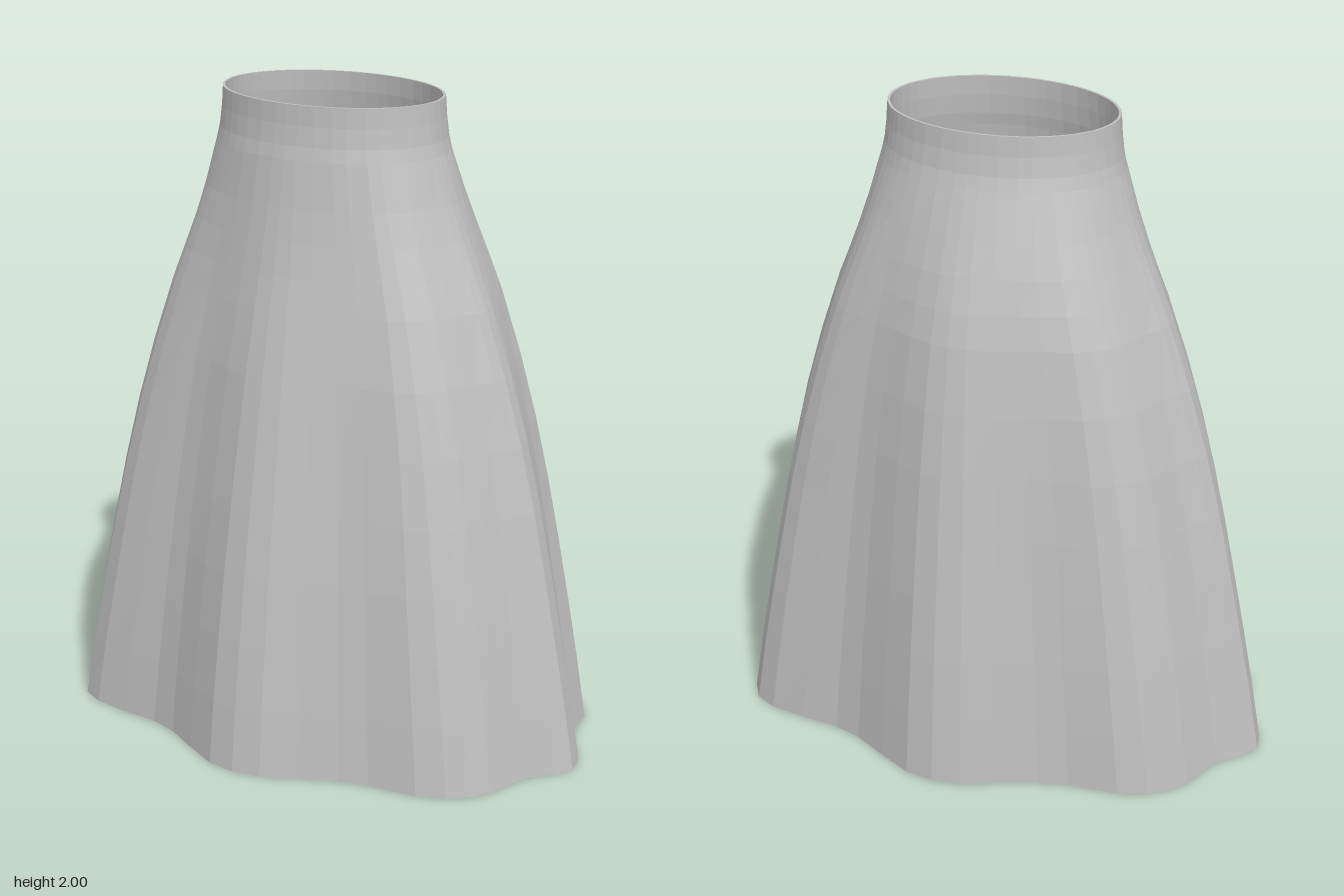
import * as THREE from 'three';

// Half of the wavy hem outline (x, z), from the left side round the front;
// the other half is the same outline turned by 180 degrees.
const HALF_HEM = [
  [0.88, 0.04], [0.85, 0.09], [0.785, 0.16], [0.762, 0.22], [0.735, 0.3], [0.7, 0.355],
  [0.64, 0.4], [0.555, 0.435], [0.4, 0.452], [0.31, 0.475], [0.2, 0.52], [0.09, 0.573],
  [0, 0.587], [-0.09, 0.575], [-0.2, 0.52], [-0.31, 0.46], [-0.4, 0.432], [-0.52, 0.424],
  [-0.64, 0.407], [-0.71, 0.372], [-0.75, 0.31], [-0.765, 0.2], [-0.8, 0.125], [-0.865, 0.03],
];
const HEM = [...HALF_HEM, ...HALF_HEM.map(([x, z]) => [-x, -z])];

// Levels: height, half width, front depth, back depth, strength of the folds
const SKIRT = [
  [0, 0.88, 0.59, 0.587, 1],
  [0.2, 0.845, 0.568, 0.572, 0.97],
  [0.4, 0.806, 0.54, 0.555, 0.92],
  [0.6, 0.765, 0.51, 0.535, 0.87],
  [0.8, 0.722, 0.475, 0.512, 0.8],
  [1.0, 0.672, 0.438, 0.488, 0.72],
  [1.2, 0.612, 0.4, 0.46, 0.6],
  [1.4, 0.542, 0.357, 0.425, 0.45],
  [1.5, 0.5, 0.335, 0.4, 0.35],
  [1.6, 0.458, 0.315, 0.37, 0.25],
  [1.7, 0.42, 0.297, 0.335, 0.14],
  [1.84, 0.375, 0.276, 0.286, 0],
];
const BAND = [
  [1.84, 0.375, 0.276, 0.286, 0],
  [1.88, 0.366, 0.268, 0.274, 0],
  [1.94, 0.359, 0.262, 0.264, 0],
  [2, 0.355, 0.26, 0.26, 0],
];
const THICKNESS = 0.008;

// One closed cross-section: an ellipse blended towards the wavy hem
function ring([y, halfWidth, front, back, folds], inset) {
  return HEM.map(([hx, hz]) => {
    const x = hx / 0.88, z = hz / 0.587;
    const a = Math.atan2(z, x);
    const depth = z > 0 ? front : back;
    return [
      THREE.MathUtils.lerp(Math.cos(a), x, folds) * (halfWidth - inset),
      y,
      THREE.MathUtils.lerp(Math.sin(a), z, folds) * (depth - inset),
    ];
  });
}

// Join successive rings with quads
function loft(rings) {
  const n = HEM.length, index = [];
  for (let j = 0; j < rings.length - 1; j++) {
    for (let i = 0; i < n; i++) {
      const a = j * n + i, b = j * n + (i + 1) % n;
      index.push(a, a + n, b, b, a + n, b + n);
    }
  }
  const geometry = new THREE.BufferGeometry();
  geometry.setAttribute('position', new THREE.Float32BufferAttribute(rings.flat(2), 3));
  geometry.setIndex(index);
  geometry.computeVertexNormals();
  return geometry;
}

export function createModel() {
  const cloth = new THREE.MeshStandardMaterial({ color: 0xc0c0c0, flatShading: true });
  cloth.name = 'greyCloth';
  const group = new THREE.Group();
  group.name = 'skirt';
  const outer = (levels) => levels.map((l) => ring(l, 0));
  const inner = (levels) => levels.map((l) => ring(l, THICKNESS)).reverse();

  // Flared body: down the lining, round the hem and up the outside
  const body = new THREE.Mesh(loft([...inner(SKIRT), ...outer(SKIRT)]), cloth);
  body.name = 'flaredBody';

  // Waistband: up the outside, over the rim and down the lining
  const band = new THREE.Mesh(loft([...outer(BAND), ...inner(BAND)]), cloth);
  band.name = 'waistband';

  group.add(body, band);
  return group;
}
